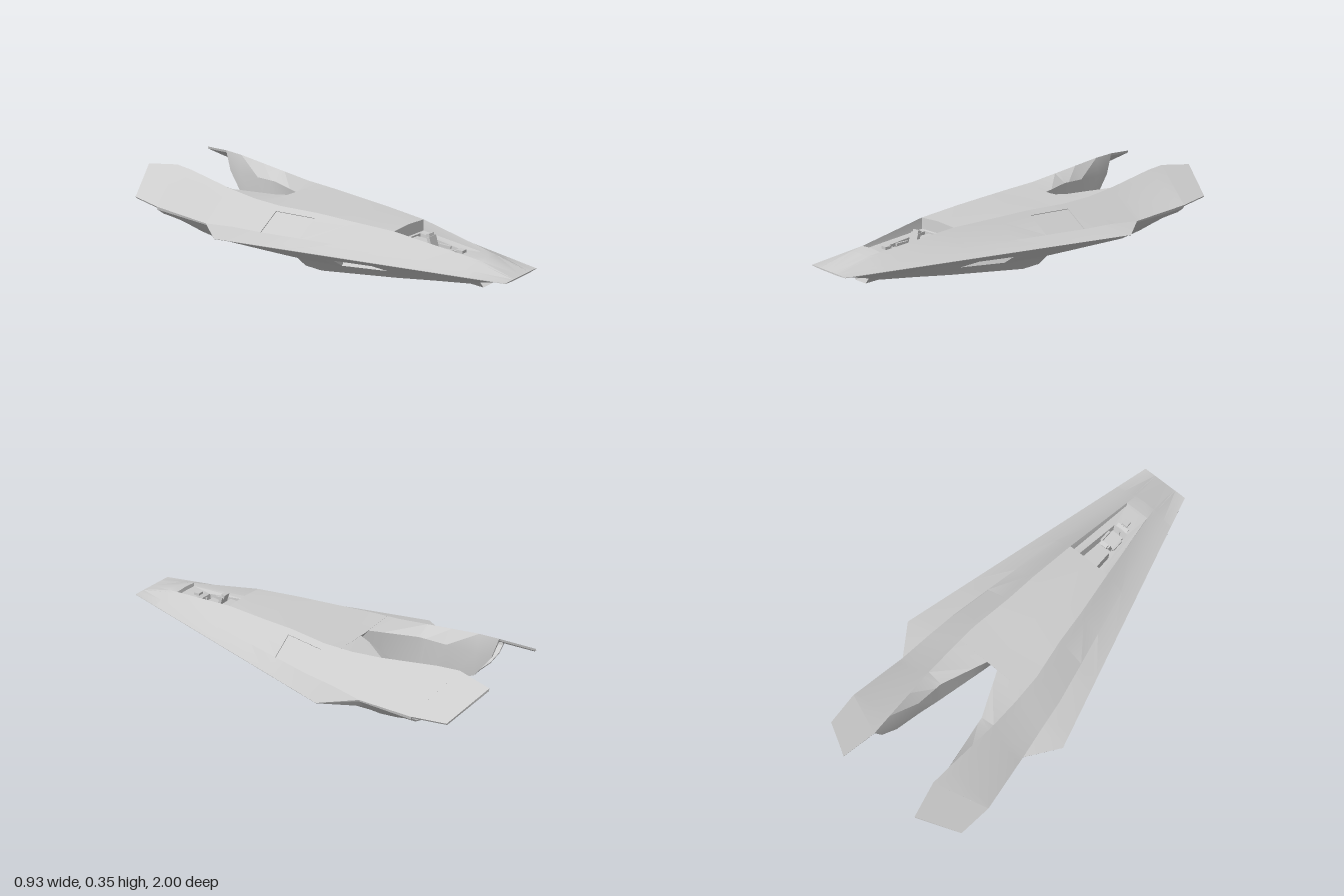
import * as THREE from 'three';
import { toCreasedNormals } from 'three/addons/utils/BufferGeometryUtils.js';

const material = new THREE.MeshStandardMaterial({ color: 0xcccccc, side: THREE.DoubleSide });
const V = (x, y, z) => new THREE.Vector3(x, y, z);
const lerp = (a, b, t) => a.clone().lerp(b, t);

// Lengthwise rails of the left half: [z, x, y] from nose to tail
const rails = {
  deck: [[1, 0, .164], [.83, 0, .212], [.42, 0, .27], [.03, 0, .28], [-.26, 0, .28],
    [-.2601, .03, .28], [-.47, .12, .272], [-.81, .167, .255]],
  ridge: [[1, .055, .164], [.83, .055, .208], [.42, .11, .264], [.19, .14, .274], [.03, .155, .28],
    [-.17, .185, .282], [-.32, .19, .289], [-.47, .19, .307], [-.74, .175, .347], [-.84, .17, .355]],
  shoulder: [[1, .09, .164], [.82, .12, .18], [.42, .2, .193], [.03, .28, .192], [-.17, .32, .19],
    [-.32, .34, .19], [-.47, .29, .232], [-.74, .3, .27], [-.789, .3, .2759]],
  edge: [[1, .12, .163], [-.32, .465, .165], [-.47, .36, .18], [-.75, .4, .215]],
  lowEdge: [[1, .12, .161], [-.32, .464, .163], [-.47, .358, .172], [-.75, .397, .2]],
  wing: [[1, .1, .16], [.84, .12, .148], [.42, .21, .13], [.03, .29, .12], [-.05, .31, .115],
    [-.17, .33, .127], [-.32, .345, .125], [-.47, .32, .13], [-.75, .36, .172]],
  flank: [[1, .08, .159], [.84, .06, .112], [.42, .14, .085], [.19, .165, .062], [.03, .19, .06],
    [-.17, .225, .068], [-.5, .24, .065], [-.6, .26, .09], [-.74, .3, .145]],
  keel: [[1, .05, .158], [.8401, .05, .135], [.8399, .035, .083], [.77, .045, .09], [.6, .07, .069],
    [.42, .09, .045], [.03, .13, 0], [-.05, .15, .012], [-.17, .14, .07], [-.26, .14, .07],
    [-.5, .18, .065], [-.6, .2, .09], [-.73, .22, .14]],
  belly: [[1, 0, .158], [.8401, 0, .135], [.8399, 0, .083], [.77, 0, .09], [.6, 0, .069],
    [.42, 0, .045], [.03, 0, 0], [-.05, 0, .012], [-.0501, .03, .012], [-.17, .05, .07],
    [-.26, .07, .07], [-.5, .13, .066], [-.6, .15, .09], [-.73, .165, .14]],
};

// Point on a rail, clamped to where the rail ends
function at(name, zWanted) {
  const r = rails[name];
  const z = Math.max(zWanted, r[r.length - 1][0]);
  let i = 0;
  while (i < r.length - 2 && z < r[i + 1][0]) i++;
  const [a, b] = [r[i], r[i + 1]];
  return lerp(V(a[1], a[2], a[0]), V(b[1], b[2], b[0]), (a[0] - z) / (a[0] - b[0]));
}

// Half cross-section from the deck, round the wing edge, to the belly and up the tail fork
function section(z, cut) {
  const p = {};
  for (const name in rails) p[name] = at(name, z);
  const panel = lerp(p.ridge, p.shoulder, .2);
  const sink = cut === 'panel' ? V(-.002, -.003, 0) : V(0, 0, 0);
  const in1 = lerp(p.flank, p.wing, .2), in2 = lerp(p.flank, p.wing, .85);
  const inset = cut === 'intake' ? V(-.025, .03, 0) : V(0, 0, 0);
  if (cut === 'chin') {
    p.keel.z = p.belly.z = .76;
    p.keel.y = p.belly.y = z > .84 ? .105 : .088;
  }
  // The fork's front wall slopes from the belly at z = -0.05 to the deck at z = -0.26
  let fork = p.belly, forkMid = p.belly;
  if (z <= -.26) fork = forkMid = p.deck;
  if (z < -.05 && z >= -.26) {
    const y = .012 + .268 * (-.05 - z) / .21;
    fork = V(.03, y, z);
    forkMid = V(0, y, z);
  }
  return [p.deck, p.ridge, panel, panel.clone().add(sink), p.shoulder.clone().add(sink), p.shoulder,
    p.edge, p.lowEdge, p.wing, in2, in2.clone().add(inset), in1.clone().add(inset), in1,
    p.flank, p.keel, p.belly, fork, forkMid];
}

const centre = row => row.reduce((s, p) => s.add(p), V(0, 0, 0)).divideScalar(row.length);
const collapse = (row, c = centre(row)) => row.map(() => c.clone());

// Triangles joining successive rows; keep(s, i) can leave strips out
function loft(rows, keep = () => true) {
  const tris = [], n = rows[0].length;
  for (let s = 0; s < rows.length - 1; s++) {
    for (let i = 0; i < n; i++) {
      if (!keep(s, i)) continue;
      const j = (i + 1) % n;
      const [a, b, c, d] = [rows[s][i], rows[s][j], rows[s + 1][j], rows[s + 1][i]];
      for (const t of [[a, b, c], [a, c, d]]) if (new THREE.Triangle(...t).getArea() > 1e-8) tris.push(t);
    }
  }
  return tris;
}

function surface(name, tris, mirrored = true, crease = .36) {
  const flip = p => V(-p.x, p.y, p.z);
  const all = mirrored ? [...tris, ...tris.map(([a, b, c]) => [flip(a), flip(c), flip(b)])] : tris;
  const g = new THREE.BufferGeometry().setFromPoints(all.flat());
  const mesh = new THREE.Mesh(toCreasedNormals(g, crease), material);
  mesh.name = name;
  return mesh;
}

function box(name, size, pos, tilt = 0) {
  const mesh = new THREE.Mesh(new THREE.BoxGeometry(...size), material);
  mesh.position.set(...pos);
  mesh.rotation.x = tilt;
  mesh.name = name;
  return mesh;
}

function createCockpit() {
  const g = new THREE.Group();
  g.name = 'cockpit';
  // Open tub: rim, side shelf, then the foot well
  const ring = (kx, z0, z1, y) => {
    const f = at('ridge', .78), b = at('ridge', .42);
    const P = (x, py, z) => V(x * kx, y(py), z);
    return [P(f.x, f.y, z0), P(0, at('deck', .78).y, z0), P(-f.x, f.y, z0),
      P(-b.x, b.y, z1), P(0, at('deck', .42).y, z1), P(b.x, b.y, z1)];
  };
  const rows = [
    ring(1, .78, .42, y => y),
    ring(.93, .775, .425, y => y * .3 + .136),
    ring(.62, .66, .435, y => y * .3 + .134),
    ring(.58, .65, .44, () => .15),
  ];
  rows.push(collapse(rows[3]));
  g.add(surface('cockpitTub', loft(rows), false, .2));

  // Pilot seat
  g.add(box('seatCushion', [.062, .022, .075], [0, .175, .6], -.1));
  g.add(box('seatBack', [.05, .07, .016], [0, .207, .55], -.3));
  g.add(box('headrest', [.036, .022, .018], [0, .241, .535], -.3));
  g.add(box('seatMount', [.07, .06, .09], [0, .18, .485]));
  for (const s of [-1, 1]) {
    g.add(box('armrest', [.01, .012, .06], [s * .036, .195, .59]));
  }
  // Instrument panel and stick
  g.add(box('instrumentPanel', [.06, .02, .02], [0, .193, .675], -.4));
  g.add(box('display', [.03, .02, .03], [0, .203, .7]));
  g.add(box('controlStick', [.008, .045, .008], [0, .175, .645], .2));
  return g;
}

export function createModel() {
  const model = new THREE.Group();
  model.name = 'spacecraft';

  // Hull and twin tail booms, with chin pocket, side intakes and sunk wing panels
  const stations = [[1], [.841], [.841, 'chin'], [.839, 'chin'], [.839], [.78], [.6], [.42], [.19, 'intake'],
    [.19], [.03], [.03, 'panel'], [-.05, 'panel'], [-.0501, 'panel'], [-.17, 'panel'], [-.17], [-.2599],
    [-.2601], [-.32], [-.47], [-.5], [-.6], [-.74], [-.84]];
  const rows = stations.map(s => section(...s));
  rows.unshift(collapse(rows[0], V(0, .161, 1)));
  const last = rows[0].length - 1;
  const hull = loft(rows, (s, i) => {
    const overCockpit = s > 0 && [.78, .6].includes(stations[s - 1][0]);
    return i !== last && !(i === 0 && overCockpit);
  });
  model.add(surface('hull', hull));

  // Hollow exhausts
  const rim = rows[rows.length - 1], c = centre(rim);
  const lip = rim.map(p => lerp(p, V(c.x, c.y, p.z), .06));
  const deep = rim.map(p => lerp(p, V(c.x, c.y, p.z), .25).setZ(-.55).add(V(-.03, -.04, 0)));
  model.add(surface('exhaust', loft([rim, lip, deep, collapse(deep)])));

  // Thin flaps carried on behind the boom tops
  const slab = (a, b) => [a, b, b.clone().add(V(-.005, -.008, 0)), a.clone().add(V(.003, -.012, 0))];
  const root = slab(at('ridge', -1), at('edge', -1));
  const tip = slab(V(.205, .34, -1), V(.385, .23, -.91));
  model.add(surface('tailFlap', loft([root, tip, collapse(tip)])));

  model.add(createCockpit());
  return model;
}
